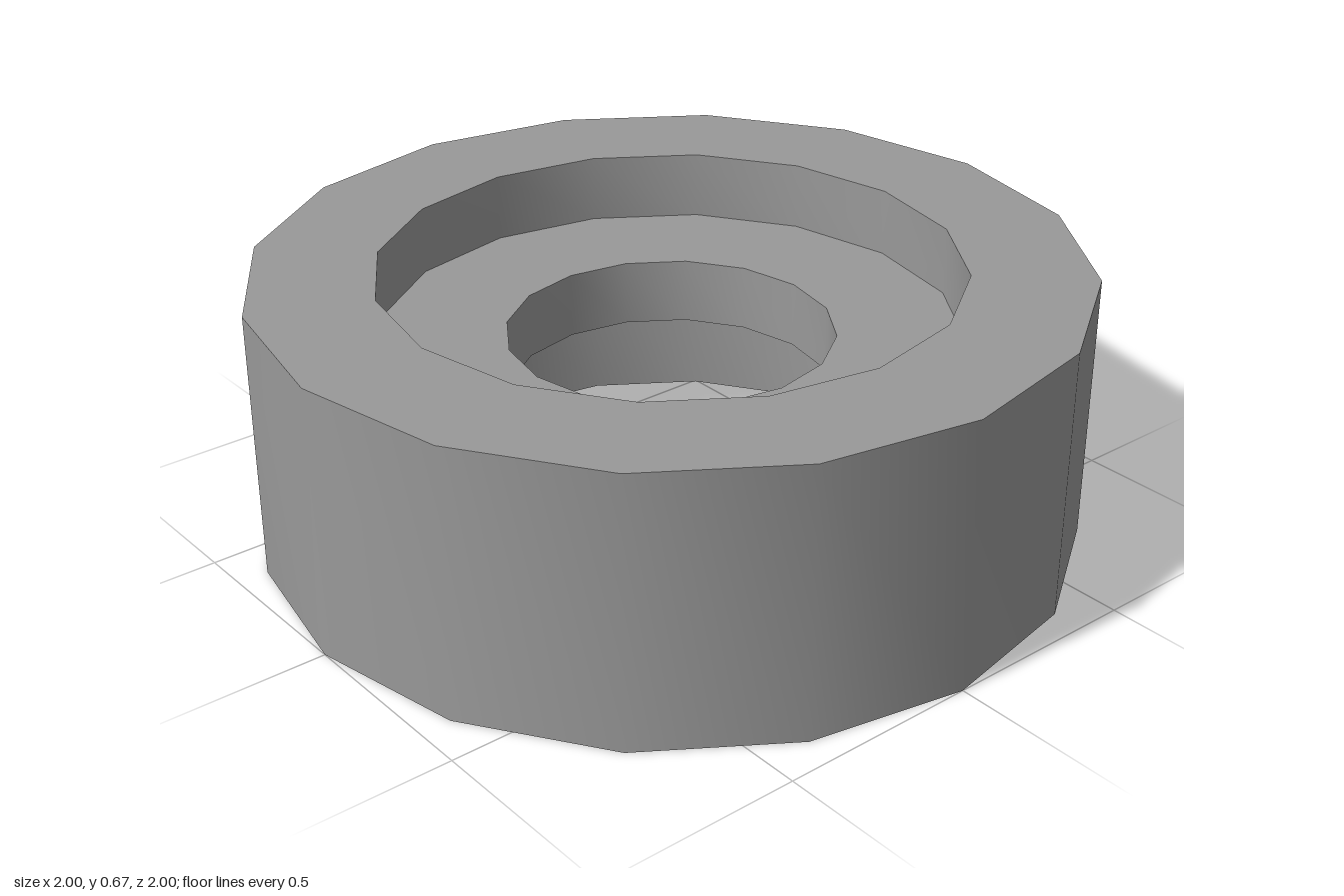
import * as THREE from 'three';
import { toCreasedNormals } from 'three/addons/utils/BufferGeometryUtils.js';

const SIDES = 16;
const OUTER = 1, RECESS = 0.7, BORE = 0.395;
const HEIGHT = 0.67, WEB_BOTTOM = 0.335, WEB_TOP = 0.5;

export function createModel() {
  const group = new THREE.Group();
  group.name = 'recessedRing';

  // Closed cross-section: outer wall, shallow top recess, bore, deep bottom recess
  const profile = [
    [RECESS, 0], [OUTER, 0], [OUTER, HEIGHT], [RECESS, HEIGHT],
    [RECESS, WEB_TOP], [BORE, WEB_TOP], [BORE, WEB_BOTTOM],
    [RECESS, WEB_BOTTOM], [RECESS, 0],
  ].map(([r, y]) => new THREE.Vector2(r, y));

  // Smooth around the walls, sharp at the rims
  const geometry = toCreasedNormals(new THREE.LatheGeometry(profile, SIDES), Math.PI / 4);
  const ring = new THREE.Mesh(geometry, new THREE.MeshStandardMaterial({ color: 0x999999 }));
  ring.name = 'ringBody';
  group.add(ring);

  return group;
}
